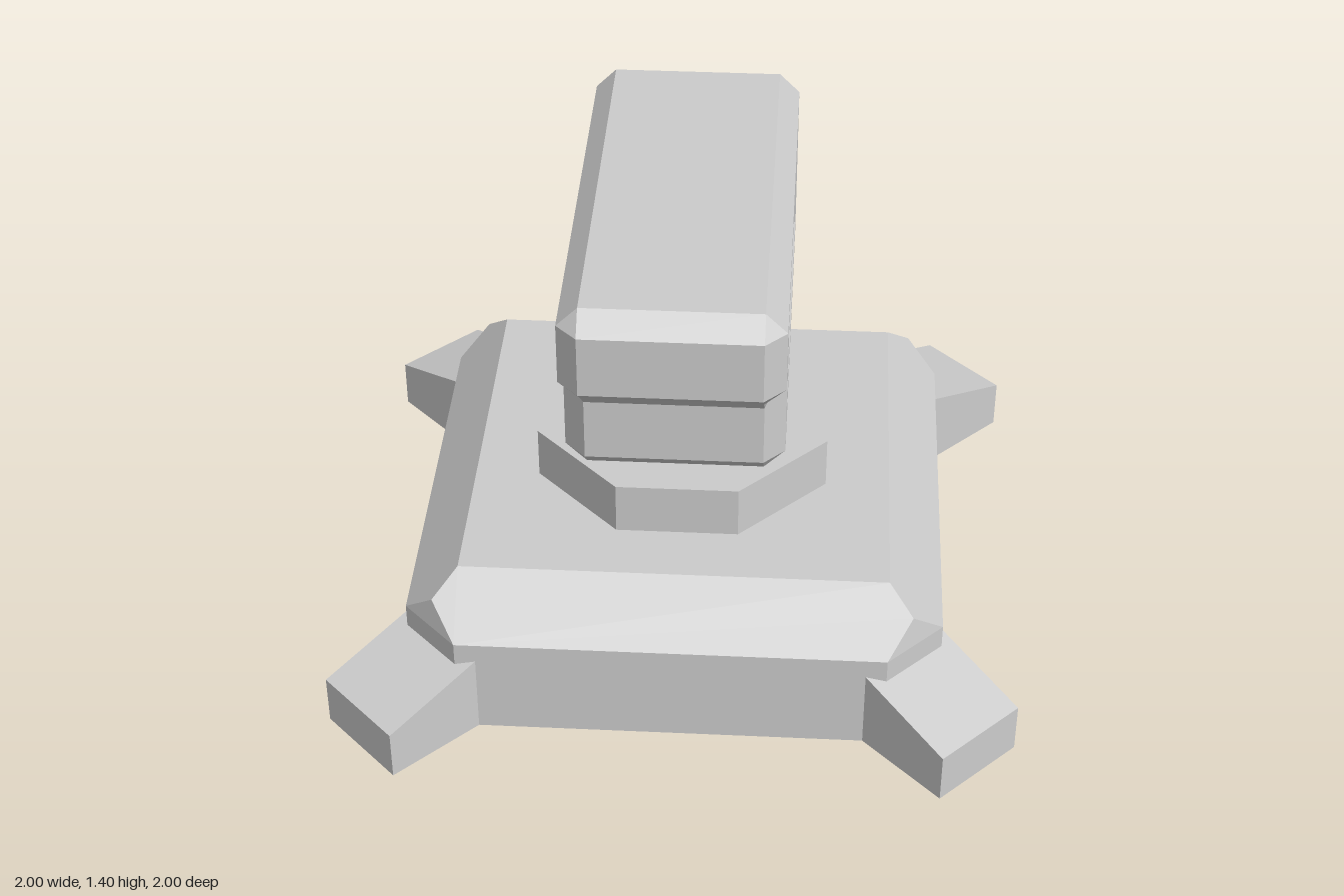
import * as THREE from 'three';
import { mergeGeometries } from 'three/addons/utils/BufferGeometryUtils.js';

const material = new THREE.MeshStandardMaterial({ color: 0xcccccc, flatShading: true });

function add(group, name, geometry) {
  const mesh = new THREE.Mesh(geometry, material);
  mesh.name = name;
  group.add(mesh);
  return mesh;
}

// Flat faces from convex polygons, each fanned from its first corner
function faces(polygons) {
  const pos = [];
  for (const p of polygons) {
    for (let i = 1; i < p.length - 1; i++) pos.push(...p[0], ...p[i], ...p[i + 1]);
  }
  const g = new THREE.BufferGeometry();
  g.setAttribute('position', new THREE.Float32BufferAttribute(pos, 3));
  g.computeVertexNormals();
  return g;
}

// Copy mirrored in x, with the corner order turned round
function mirrorX(geometry) {
  const p = geometry.attributes.position;
  const polygons = [];
  for (let i = 0; i < p.count; i += 3) {
    polygons.push([i, i + 2, i + 1].map((k) => [-p.getX(k), p.getY(k), p.getZ(k)]));
  }
  return faces(polygons);
}

// Flat sheet facing +x from [z, y] outlines
function sideSheet(outline, x, hole) {
  const toPoints = (pts) => pts.map(([z, y]) => new THREE.Vector2(-z, y));
  const shape = new THREE.Shape(toPoints(outline));
  if (hole) shape.holes.push(new THREE.Path(toPoints(hole)));
  const g = new THREE.ShapeGeometry(shape).toNonIndexed();
  g.deleteAttribute('uv');
  return g.rotateY(Math.PI / 2).translate(x, 0, 0);
}

// Square base with bevelled rim and cut corners, one quarter turned four times
function baseGeometry() {
  const a = 0.62, b = 0.78, m = 0.69, rim = 0.31, top = 0.47;
  const quarter = faces([
    [[-a, 0, b], [a, 0, b], [a, rim, b], [-a, rim, b]],
    [[a, 0, b], [b, 0, a], [b, rim, a], [a, rim, b]],
    [[-a, rim, b], [a, rim, b], [m, 0.4, m], [a, top, a], [-a, top, a], [-m, 0.4, m]],
    [[a, rim, b], [b, rim, a], [m, 0.4, m]],
    [[0, top, 0], [-a, top, a], [a, top, a]],
    [[0, 0, 0], [b, 0, a], [a, 0, b], [-a, 0, b]],
  ]);
  return mergeGeometries([0, 1, 2, 3].map((k) => quarter.clone().rotateY(k * Math.PI / 2)));
}

// Bevelled head with an overhanging front and a recessed panel on each side
function headGeometry() {
  const inX = 0.25, outX = 0.31, floorX = 0.28;
  // [z, y] outlines: the middle strip, the side face, and the recess
  const mid = [[-0.64, 0.78], [-0.7, 0.84], [-0.7, 1.34], [-0.64, 1.4], [0.64, 1.4], [0.7, 1.34],
    [0.7, 1.155], [0.63, 1.095], [0.56, 1.03], [0.56, 0.84], [0.5, 0.78]];
  const side = [[-0.64, 0.84], [-0.64, 1.34], [0.64, 1.34], [0.64, 1.155], [0.5, 1.155], [0.5, 0.84]];
  const sideOf = [0, 0, 1, 1, 2, 2, 3, 3, 4, 5, 5];
  const recess = [[-0.56, 0.92], [-0.56, 1.27], [0.565, 1.27], [0.565, 1.235], [0.425, 1.235], [0.425, 0.92]];
  const at = (x, [z, y]) => [x, y, z];

  const strip = [], half = [];
  mid.forEach((p, i) => {
    const j = (i + 1) % mid.length, q = mid[j];
    strip.push([at(inX, p), at(-inX, p), at(-inX, q), at(inX, q)]);
    // bevel from the strip out to the side face
    const bevel = [at(inX, p), at(inX, q), at(outX, side[sideOf[j]])];
    if (sideOf[i] !== sideOf[j]) bevel.push(at(outX, side[sideOf[i]]));
    half.push(bevel);
  });
  recess.forEach((p, i) => {
    const q = recess[(i + 1) % recess.length];
    half.push([at(outX, p), at(outX, q), at(floorX, q), at(floorX, p)]);
  });
  const right = mergeGeometries([
    faces(half),
    sideSheet(side, outX, recess),
    sideSheet(recess, floorX),
  ]);
  return mergeGeometries([faces(strip), right, mirrorX(right)]);
}

export function createModel() {
  const model = new THREE.Group();
  model.name = 'turret';

  add(model, 'base', baseGeometry());

  // Wedge feet on the diagonals
  const footShape = new THREE.Shape([[0.8, 0], [1.259, 0], [1.259, 0.155], [0.8, 0.295]]
    .map(([d, y]) => new THREE.Vector2(d, y)));
  const footGeometry = new THREE.ExtrudeGeometry(footShape, { depth: 0.311, bevelEnabled: false })
    .translate(0, 0, -0.1555);
  for (let k = 0; k < 4; k++) {
    add(model, 'foot', footGeometry).rotation.y = Math.PI / 4 + k * Math.PI / 2;
  }

  // Octagonal turntable and hexagonal neck
  const tableR = 0.43 / Math.cos(Math.PI / 8);
  add(model, 'turntable', new THREE.CylinderGeometry(tableR, tableR, 0.16, 8)
    .rotateY(Math.PI / 8).translate(0, 0.55, 0));
  add(model, 'neck', new THREE.CylinderGeometry(0.25, 0.25, 0.15, 6)
    .rotateY(Math.PI / 6).translate(0, 0.705, 0));

  add(model, 'head', headGeometry());

  // Ring-shaped port on the back
  const portProfile = [[0, 0.012], [0.055, 0.012], [0.06, 0.032], [0.09, 0.032], [0.117, 0.015], [0.117, 0]]
    .map(([r, h]) => new THREE.Vector2(r, h)).reverse();
  add(model, 'rearPort', new THREE.LatheGeometry(portProfile, 8)
    .rotateY(Math.PI / 8).rotateX(-Math.PI / 2).translate(0, 1.093, -0.7));

  return model;
}
